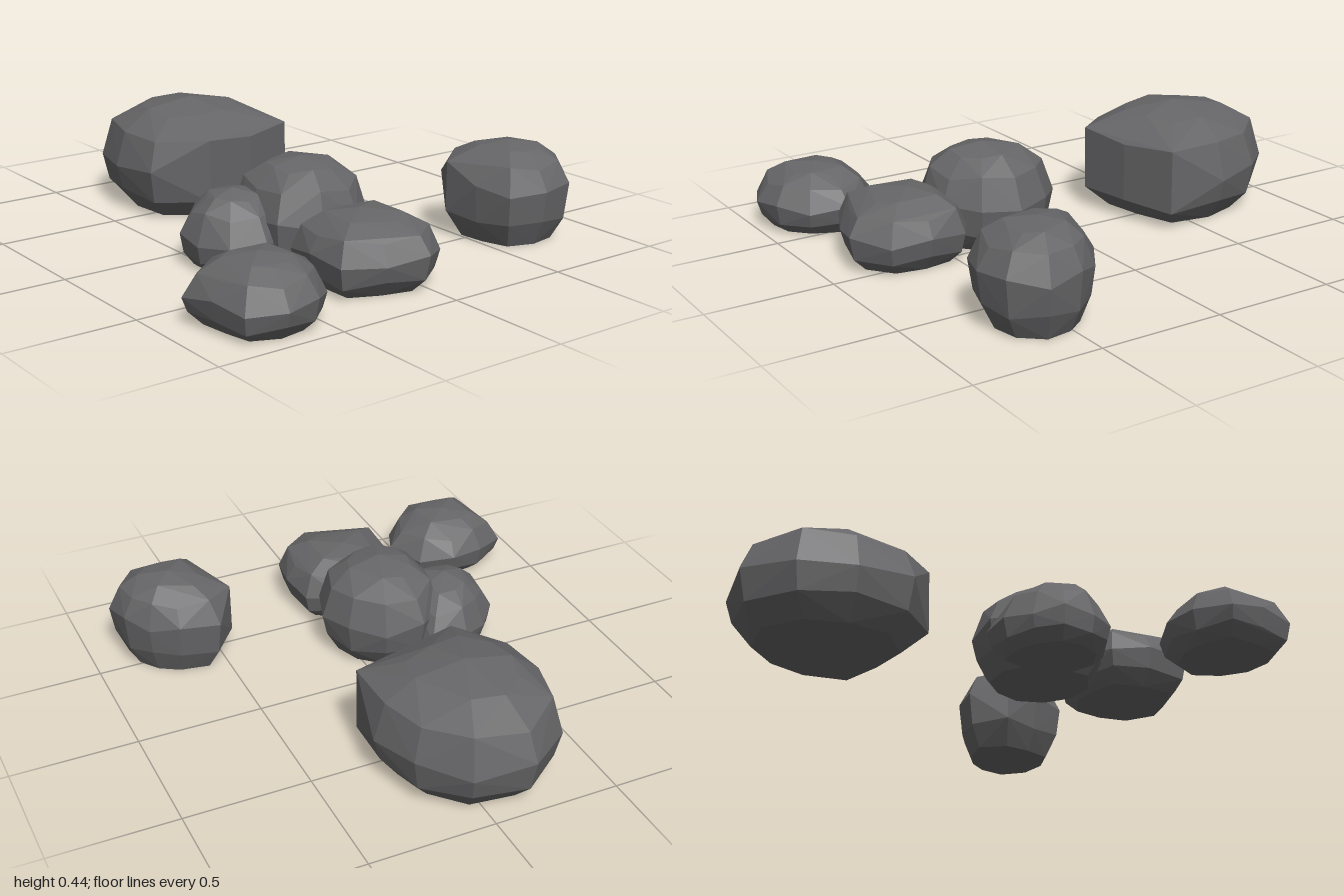
import * as THREE from 'three';
import { ConvexGeometry } from 'three/addons/geometries/ConvexGeometry.js';

const stone = new THREE.MeshStandardMaterial({ color: 0x666668 });
stone.name = 'greyStone';

// Convex faceted stone: ten plan radii, clockwise from above, swept through five rings.
// centre: [x, z]; start: angle of the first radius in degrees; peak: [x, y, z];
// belt: height of the widest ring; shoulder: scale of the ring above it;
// wall: first and last radius that stay upright up to the shoulder.
function addRock(group, name, { centre, start, radii, peak, belt, shoulder, wall = [-1, -1] }) {
  const [cx, cz] = centre;
  const [px, top, pz] = peak;
  const rise = top - belt;
  const points = [new THREE.Vector3(...peak)];

  const addRing = (y, scale, drift, wobble, upright) => {
    radii.forEach((radius, i) => {
      const isWall = upright && i >= wall[0] && i <= wall[1];
      const r = radius * (isWall ? 1 : scale);
      const shift = isWall ? 0 : drift;
      const angle = THREE.MathUtils.degToRad(start + i * 36);
      points.push(new THREE.Vector3(
        cx + (px - cx) * shift + r * Math.cos(angle),
        y + wobble * Math.sin(i * 2.4 + y * 20),
        cz + (pz - cz) * shift + r * Math.sin(angle),
      ));
    });
  };
  addRing(0.008, 0.73, 0, 0, false); // level base
  addRing(belt * 0.45, 0.93, 0, 0.01, true);
  addRing(belt, 1, 0, 0.015, true);
  addRing(belt + rise * 0.55, shoulder, 0.15, 0.012, true);
  addRing(belt + rise * 0.85, shoulder * 0.62, 0.5, 0.008, false);

  const mesh = new THREE.Mesh(new ConvexGeometry(points), stone);
  mesh.name = name;
  group.add(mesh);
}

export function createModel() {
  const group = new THREE.Group();
  group.name = 'rockCluster';

  // Large boulder with an upright front face
  addRock(group, 'largeBackRock', {
    centre: [-0.06, -0.61], start: 3, peak: [-0.07, 0.45, -0.6], belt: 0.2, shoulder: 0.88, wall: [1, 3],
    radii: [0.35, 0.4, 0.335, 0.385, 0.39, 0.35, 0.375, 0.395, 0.375, 0.34],
  });

  // Three rocks leaning together
  addRock(group, 'tallMiddleRock', {
    centre: [-0.13, 0.26], start: 0, peak: [-0.14, 0.4, 0.28], belt: 0.19, shoulder: 0.84,
    radii: [0.25, 0.25, 0.26, 0.27, 0.28, 0.24, 0.255, 0.27, 0.265, 0.245],
  });
  addRock(group, 'frontRock', {
    centre: [-0.12, 0.64], start: 2, peak: [-0.13, 0.28, 0.62], belt: 0.14, shoulder: 0.85,
    radii: [0.24, 0.27, 0.28, 0.245, 0.288, 0.245, 0.27, 0.23, 0.24, 0.26],
  });
  addRock(group, 'lowBackLeftRock', {
    centre: [-0.39, 0.18], start: 18, peak: [-0.4, 0.3, 0.2], belt: 0.12, shoulder: 0.78,
    radii: [0.2, 0.22, 0.23, 0.215, 0.203, 0.2, 0.188, 0.215, 0.258, 0.205],
  });

  // Two separate rocks at the sides
  addRock(group, 'rightRock', {
    centre: [0.68, 0.54], start: 24, peak: [0.67, 0.39, 0.54], belt: 0.23, shoulder: 0.8, wall: [5, 5],
    radii: [0.242, 0.245, 0.24, 0.255, 0.222, 0.252, 0.275, 0.21, 0.192, 0.204],
  });
  addRock(group, 'leftRock', {
    centre: [-0.67, 0.76], start: -7, peak: [-0.67, 0.26, 0.75], belt: 0.12, shoulder: 0.8,
    radii: [0.262, 0.228, 0.225, 0.232, 0.248, 0.214, 0.265, 0.23, 0.232, 0.25],
  });

  return group;
}
